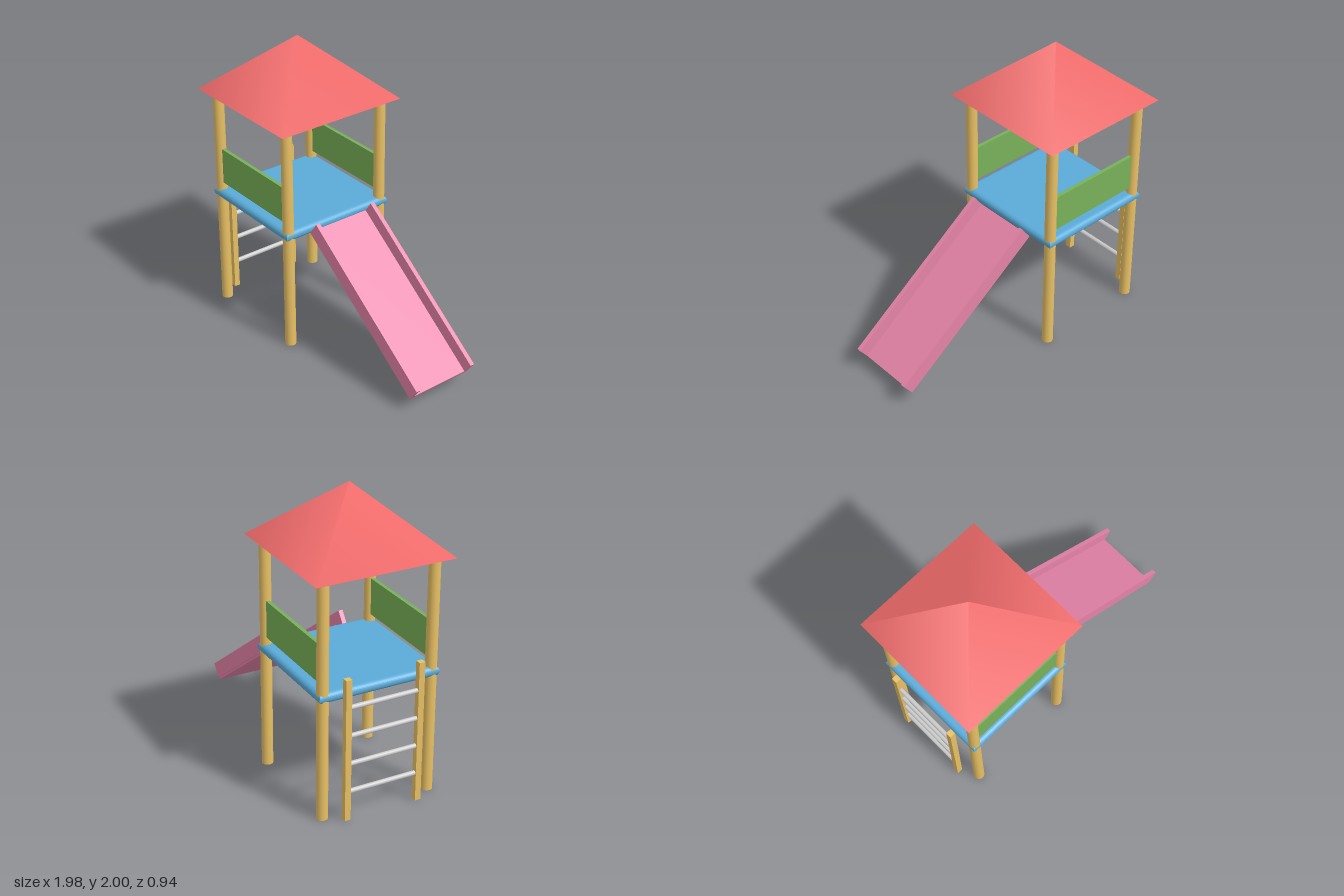
import * as THREE from 'three';

const mat = (color) => new THREE.MeshStandardMaterial({ color });
const wood = mat(0xe8c064);
const red = mat(0xef6a6a);
const blue = mat(0x5aabd9);
const green = mat(0x78b159);
const pink = mat(0xe583a8);
const grey = mat(0xcccccc);

function add(parent, name, geometry, material, x = 0, y = 0, z = 0) {
  const mesh = new THREE.Mesh(geometry, material);
  mesh.name = name;
  mesh.position.set(x, y, z);
  parent.add(mesh);
  return mesh;
}

function createTower() {
  const tower = new THREE.Group();
  tower.name = 'tower';
  const half = 0.375;

  // Four round corner posts
  const post = new THREE.CylinderGeometry(0.0375, 0.0375, 1.59, 24);
  for (const x of [-half, half])
    for (const z of [-half, half]) add(tower, 'post', post, wood, x, 0.795, z);

  // Square deck with a rounded rim
  const rim = 0.033;
  const square = new THREE.Shape([[-1, -1], [1, -1], [1, 1], [-1, 1]]
    .map(([x, y]) => new THREE.Vector2(x * 0.382, y * 0.382)));
  const deck = new THREE.ExtrudeGeometry(square, {
    depth: 0.002, bevelThickness: rim, bevelSize: rim, bevelSegments: 8,
  });
  deck.translate(0, 0, -0.001).rotateX(-Math.PI / 2);
  add(tower, 'deck', deck, blue, 0, 0.835, 0);

  // Guard panels at the front and back
  const panel = new THREE.BoxGeometry(0.69, 0.25, 0.025);
  for (const z of [-half, half]) add(tower, 'guardPanel', panel, green, 0, 1.045, z);

  // Pyramid roof
  const roof = new THREE.ConeGeometry(0.469 * Math.SQRT2, 0.41, 4);
  roof.rotateY(Math.PI / 4);
  add(tower, 'roof', roof, red, 0, 1.795, 0);
  return tower;
}

function createLadder() {
  const ladder = new THREE.Group();
  ladder.name = 'ladder';
  const rail = new THREE.BoxGeometry(0.04, 0.96, 0.04);
  for (const z of [-0.25, 0.25]) add(ladder, 'ladderRail', rail, wood, 0, 0.48, z);

  // Rungs between the rails
  const rung = new THREE.CylinderGeometry(0.016, 0.016, 0.48, 16);
  rung.rotateX(Math.PI / 2);
  for (let i = 1; i <= 4; i++) add(ladder, 'rung', rung, grey, 0, i * 0.192, 0);
  return ladder;
}

function createSlide() {
  // Built along x from its upper lower corner, then tilted downwards
  const slide = new THREE.Group();
  slide.name = 'slide';
  const length = 1.248;
  const bed = new THREE.BoxGeometry(length, 0.03, 0.465);
  add(slide, 'slideBed', bed, pink, length / 2, 0.015, 0);
  const side = new THREE.BoxGeometry(length, 0.105, 0.03);
  for (const z of [-0.225, 0.225]) add(slide, 'slideSide', side, pink, length / 2, 0.0675, z);
  return slide;
}

export function createModel() {
  const model = new THREE.Group();
  model.name = 'playTower';

  const tower = createTower();
  tower.position.x = -0.517;

  const ladder = createLadder();
  ladder.position.x = -0.972;

  const slide = createSlide();
  slide.position.set(-0.095, 0.818, 0);
  slide.rotation.z = -0.628;

  model.add(tower, ladder, slide);
  return model;
}
